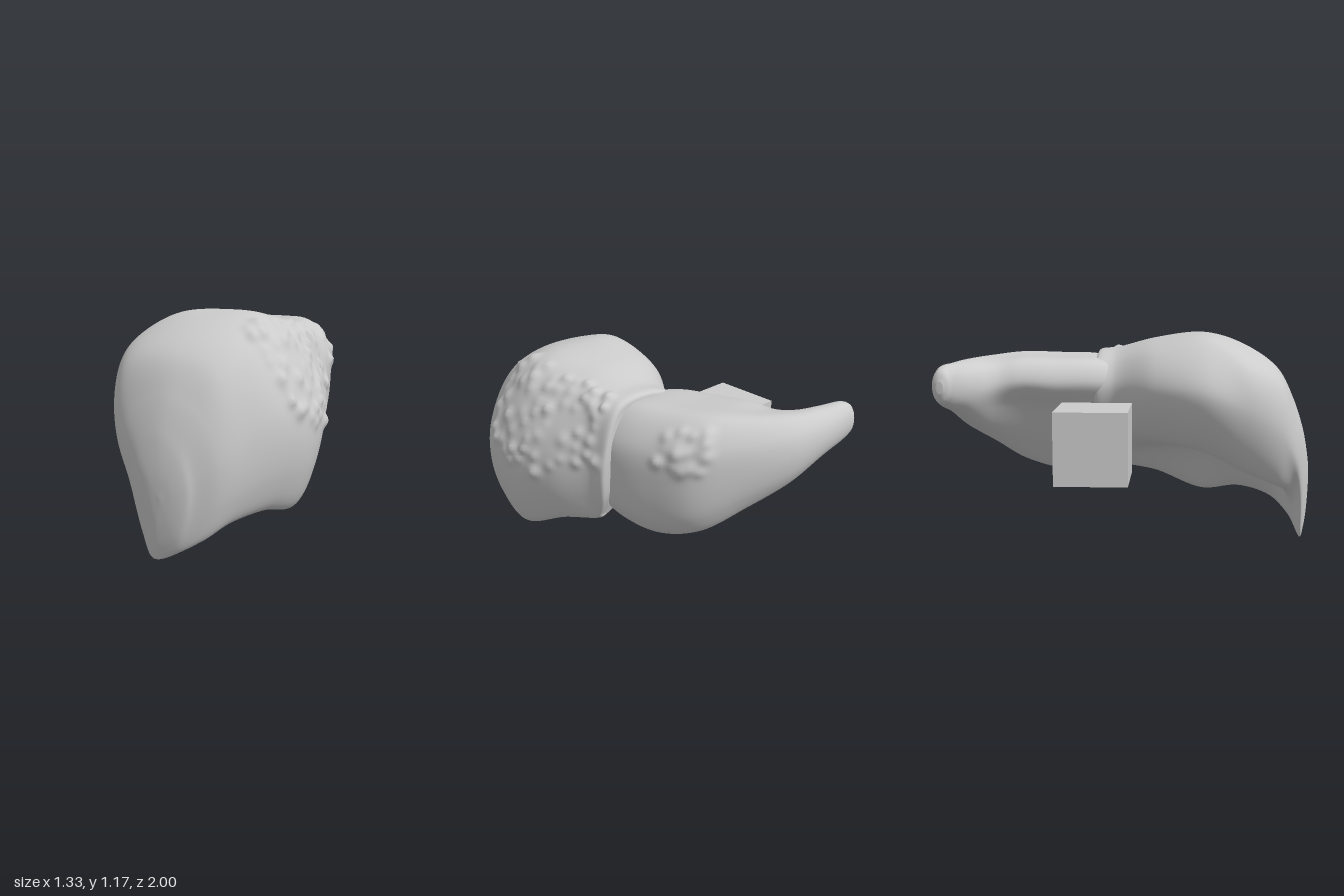
import * as THREE from 'three';

const V = (x, y, z) => new THREE.Vector3(x, y, z);
const material = () => new THREE.MeshStandardMaterial({ color: 0xcccccc, side: THREE.DoubleSide });

function seeded(seed) {
  return () => (seed = (seed * 16807) % 2147483647) / 2147483647;
}

const centre = (ring) => ring.reduce((s, p) => s.add(p), V(0, 0, 0)).divideScalar(ring.length);

// Copy of a ring, shrunk about its centre and moved
function shrink(ring, scale, offset) {
  const c = centre(ring);
  return ring.map((p) => p.clone().sub(c).multiplyScalar(scale).add(c).add(offset));
}

// Smooth closed skin through a row of rings
function loft(rings, around, along) {
  const loops = rings.map((r) => new THREE.CatmullRomCurve3(r, true, 'centripetal'));
  const pos = [], index = [];
  for (let j = 0; j < around; j++) {
    const line = new THREE.CatmullRomCurve3(loops.map((l) => l.getPoint(j / around)), false, 'centripetal');
    for (let i = 0; i <= along; i++) pos.push(...line.getPoint(i / along).toArray());
  }
  const n = along + 1;
  for (let j = 0; j < around; j++) {
    const k = (j + 1) % around;
    for (let i = 0; i < along; i++) {
      const a = j * n + i, b = k * n + i;
      index.push(a, b, a + 1, b, b + 1, a + 1);
    }
  }
  // end caps
  for (const i of [0, along]) {
    const ring = [];
    for (let j = 0; j < around; j++) ring.push(V(...pos.slice((j * n + i) * 3, (j * n + i) * 3 + 3)));
    const c = pos.length / 3;
    pos.push(...centre(ring).toArray());
    for (let j = 0; j < around; j++) {
      const a = j * n + i, b = ((j + 1) % around) * n + i;
      if (i === 0) index.push(c, b, a); else index.push(c, a, b);
    }
  }
  const g = new THREE.BufferGeometry();
  g.setAttribute('position', new THREE.Float32BufferAttribute(pos, 3));
  g.setIndex(index);
  g.computeVertexNormals();
  return g;
}

// Raise scattered nodules where the region test allows
function addNodules(g, count, spacing, region, seed) {
  const rnd = seeded(seed), p = g.attributes.position, nrm = g.attributes.normal;
  const nodules = [], v = V(0, 0, 0), m = V(0, 0, 0);
  for (let tries = 0; tries < 20000 && nodules.length < count; tries++) {
    const i = Math.floor(rnd() * p.count);
    v.fromBufferAttribute(p, i);
    m.fromBufferAttribute(nrm, i);
    if (!region(v, m) || nodules.some((k) => k.at.distanceTo(v) < spacing)) continue;
    nodules.push({ at: v.clone(), r: 0.024 + 0.012 * rnd(), h: 0.008 + 0.018 * rnd() });
  }
  for (let i = 0; i < p.count; i++) {
    v.fromBufferAttribute(p, i);
    m.fromBufferAttribute(nrm, i);
    let h = 0;
    for (const k of nodules) h += k.h * Math.exp(-((v.distanceTo(k.at) / k.r) ** 2));
    v.addScaledVector(m, h);
    p.setXYZ(i, v.x, v.y, v.z);
  }
  g.computeVertexNormals();
}

function rightLobe() {
  // z, then x,y pairs: medial edge, over the dome, down the side, hollow underside
  const sections = [
    [0.955, -0.06, 0.42, -0.03, 0.57, 0.1, 0.64, 0.23, 0.57, 0.29, 0.42, 0.27, 0.2, 0.2, 0.06, 0.06, 0.0, 0.0, 0.12],
    [0.9, -0.16, 0.5, -0.12, 0.7, 0.1, 0.8, 0.3, 0.7, 0.39, 0.5, 0.37, 0.25, 0.29, 0.1, 0.1, 0.14, -0.03, 0.29],
    [0.8, -0.26, 0.66, -0.2, 0.9, 0.06, 0.98, 0.33, 0.9, 0.475, 0.62, 0.465, 0.32, 0.38, 0.175, 0.14, 0.36, -0.11, 0.34],
    [0.62, -0.335, 0.77, -0.27, 1.0, 0.04, 1.1, 0.38, 1.04, 0.59, 0.72, 0.58, 0.38, 0.48, 0.21, 0.18, 0.46, -0.15, 0.42],
    [0.4, -0.36, 0.86, -0.17, 1.12, 0.1, 1.165, 0.42, 1.11, 0.64, 0.72, 0.632, 0.37, 0.53, 0.18, 0.24, 0.5, -0.17, 0.54],
    [0.12, -0.25, 0.88, -0.15, 1.06, 0.12, 1.135, 0.4, 1.075, 0.59, 0.74, 0.57, 0.45, 0.48, 0.3, 0.26, 0.48, -0.08, 0.6],
    [-0.1, -0.1, 0.88, -0.02, 1.01, 0.16, 1.07, 0.38, 1.04, 0.49, 0.76, 0.475, 0.5, 0.41, 0.365, 0.25, 0.46, 0.0, 0.64],
  ];
  const rings = sections.map(([z, ...xy]) => {
    const ring = [];
    for (let i = 0; i < xy.length; i += 2) ring.push(V(xy[i], xy[i + 1], z));
    return ring;
  });
  const first = rings[0], last = rings[rings.length - 1];
  rings.unshift(...[[0.04, 0.044], [0.4, 0.038], [0.75, 0.022]].map(([s, z]) => shrink(first, s, V(0.01, -0.02, z))));
  // rear border, drawn forward along its lower edge, then tucked under
  const border = shrink(last, 0.95, V(0, 0, 0));
  border.forEach((p) => { p.z = -0.205 + 0.5 * Math.max(0, 0.58 - p.y); });
  rings.push(border, shrink(border, 0.85, V(0, 0, -0.012)));
  const g = loft(rings, 190, 180);
  addNodules(g, 60, 0.055,
    (v, n) => n.x > 0.3 && v.x > 0.35 && v.z < 0.6 && v.z > -0.15 && v.y > 0.56 + 0.4 * Math.abs(v.z - 0.22), 77);
  return g;
}

function leftLobe() {
  // inner x,z, outer x,z, bottom y, top y
  const stations = [
    [0.02, -0.02, 0.43, -0.02, 0.44, 0.98],
    [-0.12, -0.21, 0.435, -0.22, 0.37, 1.03],
    [-0.2, -0.42, 0.395, -0.42, 0.35, 1.04],
    [-0.25, -0.6, 0.31, -0.64, 0.42, 1.05],
    [-0.28, -0.71, 0.13, -0.81, 0.55, 1.045],
    [-0.34, -0.77, -0.11, -0.955, 0.67, 1.04],
    [-0.44, -0.82, -0.34, -0.998, 0.77, 1.035],
    [-0.54, -0.87, -0.51, -0.998, 0.82, 1.03],
  ];
  // flap profile: thin inner edge, deep outer side
  const flap = [[0, 0.8], [0.08, 0.96], [0.42, 1], [0.76, 0.99], [0.97, 0.77],
    [1, 0.48], [0.93, 0.14], [0.78, 0], [0.5, 0.22], [0.2, 0.58]];
  const rings = stations.map(([ix, iz, ox, oz, lo, hi], s) => {
    const k = THREE.MathUtils.smoothstep(s, 2.5, 6.5);
    return flap.map(([u, v], i) => {
      const a = Math.PI - (i / flap.length) * Math.PI * 2;
      const uu = THREE.MathUtils.lerp(u, 0.5 + 0.5 * Math.cos(a), k);
      const vv = THREE.MathUtils.lerp(v, 0.5 + 0.5 * Math.sin(a), k);
      return V(ix + (ox - ix) * uu, lo + (hi - lo) * vv, iz + (oz - iz) * uu);
    });
  });
  const tip = rings[rings.length - 1];
  rings.push(shrink(tip, 0.75, V(-0.05, 0, -0.005)), shrink(tip, 0.3, V(-0.072, 0, -0.008)));
  const g = loft(rings, 130, 130);
  addNodules(g, 16, 0.05,
    (v, n) => n.x > 0.2 && v.z < -0.48 && v.z > -0.7 && v.y > 0.8 && v.y < 1.0, 31);
  return g;
}

export function createModel() {
  const model = new THREE.Group();
  const add = (name, geometry) => {
    const mesh = new THREE.Mesh(geometry, material());
    mesh.name = name;
    model.add(mesh);
    return mesh;
  };
  add('rightLobe', rightLobe());
  add('leftLobe', leftLobe());
  // separate plain block beside the organ
  add('block', new THREE.BoxGeometry(0.375, 0.375, 0.375)).position.set(-0.472, 0.627, -0.18);
  return model;
}
